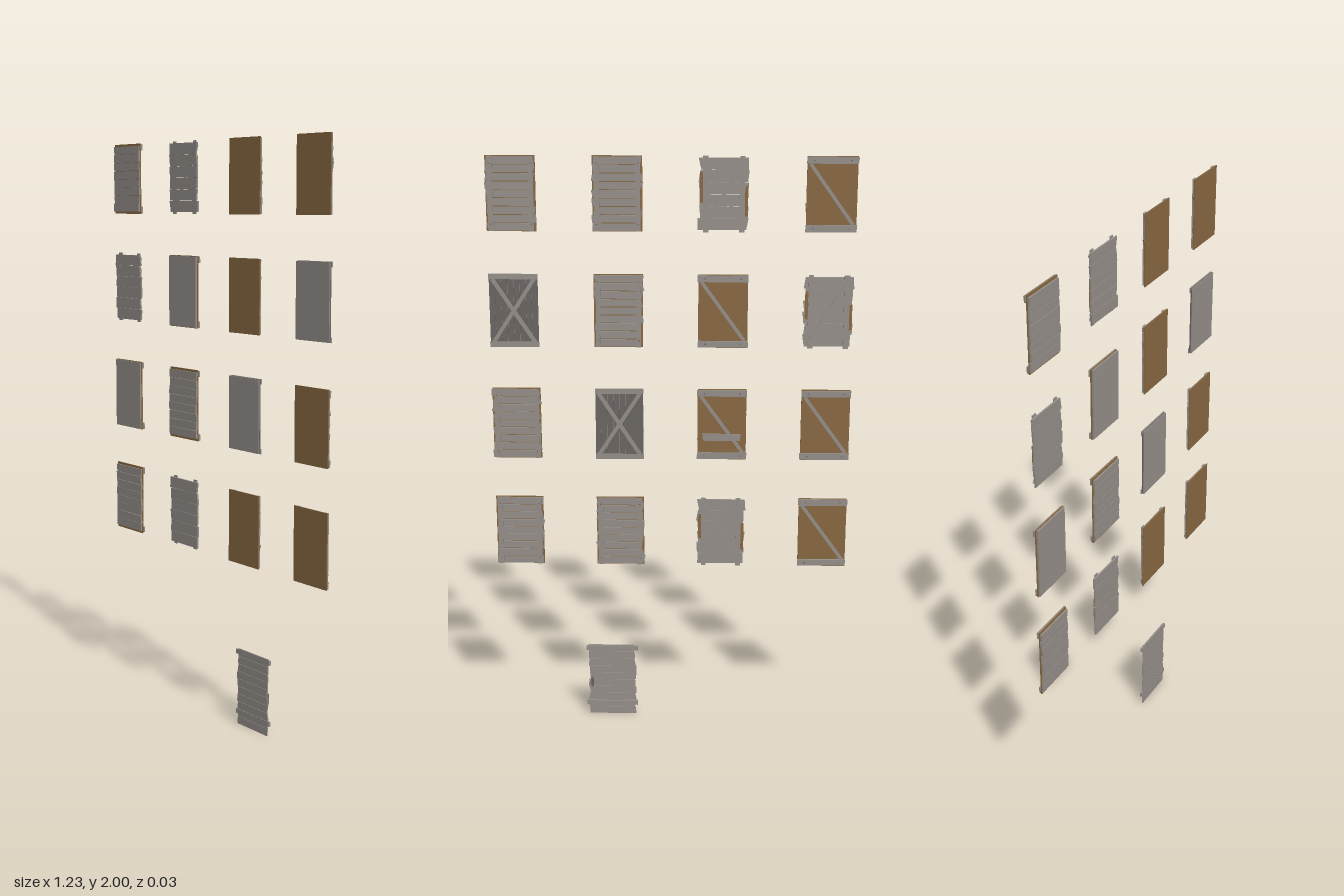
import * as THREE from 'three';

const gray = new THREE.MeshStandardMaterial({ color: 0x97918c });
gray.name = 'weathered wood';
const brown = new THREE.MeshStandardMaterial({ color: 0x8a6a43 });
brown.name = 'brown wood';
const dark = new THREE.MeshStandardMaterial({ color: 0x6c6764 });
dark.name = 'dark wood';

let seed = 7;
// seeded value in -1..1
function rnd() {
  seed = (seed * 16807) % 2147483647;
  return (seed / 2147483647) * 2 - 1;
}

// box between depths z0 and z1, its four outline corners shifted by up to j
function board(parent, name, mat, w, h, x, y, z0, z1, { rot = 0, jx = 0, jy = 0 } = {}) {
  const geo = new THREE.BoxGeometry(w, h, z1 - z0);
  const shift = [0, 1, 2, 3].map(() => [rnd() * jx, rnd() * jy]);
  const p = geo.attributes.position;
  for (let i = 0; i < p.count; i++) {
    const s = shift[(p.getX(i) > 0 ? 1 : 0) + (p.getY(i) > 0 ? 2 : 0)];
    p.setXY(i, p.getX(i) + s[0], p.getY(i) + s[1]);
  }
  geo.computeVertexNormals();
  const m = new THREE.Mesh(geo, mat);
  m.name = name;
  m.position.set(x, y, (z0 + z1) / 2);
  m.rotation.z = rot;
  parent.add(m);
  return m;
}

// stack of n horizontal planks
function planks(g, n, w, h, z0, z1, jx, gap = 0.001) {
  const s = h / n;
  for (let i = 0; i < n; i++) {
    board(g, 'plank', gray, w, s - gap, rnd() * jx * 0.6, -h / 2 + s * (i + 0.5), z0, z1 + rnd() * 0.0003, { jx, jy: 0.0006 });
  }
}

// two crossed braces
function cross(g, w, h, z0, z1) {
  const a = Math.atan2(h, w), len = Math.hypot(w, h);
  board(g, 'crossBrace', gray, len, 0.013, 0, 0, z0, z1, { rot: a });
  board(g, 'crossBrace', gray, len, 0.013, 0, 0, z0 + 0.0006, z1, { rot: -a });
}

// brown sheet in front, planks and upright battens behind
function sheetFrontPanel() {
  const g = new THREE.Group();
  board(g, 'frontSheet', brown, 0.165, 0.249, 0, 0, 0.008, 0.012);
  planks(g, 9, 0.158, 0.246, 0.003, 0.008, 0.006, 0.003);
  for (const s of [-1, 1]) {
    board(g, 'batten', gray, 0.016, 0.246, s * 0.068, 0, -0.001, 0.003, { jx: 0.001 });
    for (const y of [-0.1, 0.1]) board(g, 'nailHead', dark, 0.004, 0.004, s * 0.068, y, -0.002, -0.001);
  }
  return g;
}

// smooth gray face, dark upright planks and a crossed frame behind
function darkCrossPanel() {
  const g = new THREE.Group();
  board(g, 'frontSheet', gray, 0.163, 0.247, 0, 0, 0.009, 0.012);
  for (let i = 0; i < 8; i++) {
    board(g, 'uprightPlank', dark, 0.0195, 0.244, (i - 3.5) * 0.0205, 0, 0.004, 0.009, { jx: 0.0006, jy: 0.002 });
  }
  for (const s of [-1, 1]) board(g, 'rail', gray, 0.166, 0.018, 0, s * 0.116, 0, 0.004);
  cross(g, 0.14, 0.215, -0.001, 0.004);
  return g;
}

// uneven planks held by battens and crossed braces
function roughCrossPanel() {
  const g = new THREE.Group();
  planks(g, 6, 0.162, 0.236, 0.006, 0.012, 0.005);
  for (const s of [-1, 1]) {
    board(g, 'batten', gray, 0.018, 0.249, s * 0.06, 0, 0.002, 0.006, { jx: 0.001 });
    board(g, 'brownPatch', brown, 0.01, 0.09, s * 0.074, s * 0.02, 0.004, 0.0062, { jy: 0.008 });
  }
  cross(g, 0.135, 0.22, -0.002, 0.003);
  return g;
}

// gray face, brown sheet, two rails and a diagonal behind
function diagonalPanel(smooth, extraRail) {
  const g = new THREE.Group();
  if (smooth) board(g, 'frontSheet', gray, 0.161, 0.245, 0, 0, 0.0105, 0.016);
  else planks(g, 8, 0.163, 0.234, 0.0105, 0.016, 0.0025);
  board(g, 'backSheet', brown, 0.166, 0.249, 0, 0, 0.006, 0.0105);
  for (const s of [-1, 1]) {
    board(g, 'rail', gray, 0.17, 0.022, 0, s * 0.111, 0, 0.006, { jx: 0.002, jy: 0.001 });
    for (const x of [-0.06, 0.06]) board(g, 'nailHead', dark, 0.004, 0.004, x, s * 0.111, -0.002, 0);
  }
  if (extraRail) board(g, 'middleRail', gray, 0.13, 0.024, 0, -0.045, 0.001, 0.006, { jx: 0.004 });
  board(g, 'diagonalBrace', gray, 0.245, 0.011, 0, 0, 0.001, 0.006, { rot: Math.atan2(0.2, 0.145) });
  return g;
}

// plank door with two long rails and a handle on the back
function door() {
  const g = new THREE.Group();
  const n = 10, s = 0.027;
  for (let i = 0; i < n; i++) {
    board(g, 'doorPlank', gray, 0.166, s - 0.001, rnd() * 0.003, (i + 0.5) * s, -0.007, -0.003, { jx: 0.003 });
  }
  board(g, 'doorRail', gray, 0.184, 0.016, 0, 0.258, -0.011, -0.0025);
  board(g, 'doorRail', gray, 0.184, 0.016, 0, 0.044, -0.011, -0.0025);
  board(g, 'handlePlate', dark, 0.008, 0.03, 0.072, 0.125, -0.009, -0.007);
  const grip = new THREE.Mesh(new THREE.CylinderGeometry(0.003, 0.003, 0.036, 8), dark);
  grip.name = 'handle';
  grip.position.set(0.072, 0.128, -0.0145);
  g.add(grip);
  for (const y of [0.113, 0.143]) board(g, 'handleMount', dark, 0.004, 0.004, 0.072, y, -0.0145, -0.008);
  return g;
}

export function createModel() {
  const model = new THREE.Group();
  model.name = 'woodenPanels';
  seed = 7;

  const kinds = {
    S: ['sheetFrontPanel', sheetFrontPanel],
    X: ['darkCrossPanel', darkCrossPanel],
    R: ['roughCrossPanel', roughCrossPanel],
    P: ['plankDiagonalPanel', () => diagonalPanel(false, false)],
    F: ['smoothDiagonalPanel', () => diagonalPanel(true, false)],
    M: ['railedDiagonalPanel', () => diagonalPanel(false, true)],
  };
  // four by four display grid, top row first
  const rows = ['PRSS', 'RFSX', 'FMXS', 'PRSS'];
  const xs = [-0.53, -0.177, 0.174, 0.526];
  const ys = [1.875, 1.484, 1.09, 0.7];
  rows.forEach((row, r) => {
    [...row].forEach((k, c) => {
      const panel = kinds[k][1]();
      panel.name = kinds[k][0];
      panel.position.set(xs[c], ys[r], 0);
      model.add(panel);
    });
  });

  const d = door();
  d.name = 'plankDoor';
  d.position.set(0.208, 0, 0);
  model.add(d);
  return model;
}
